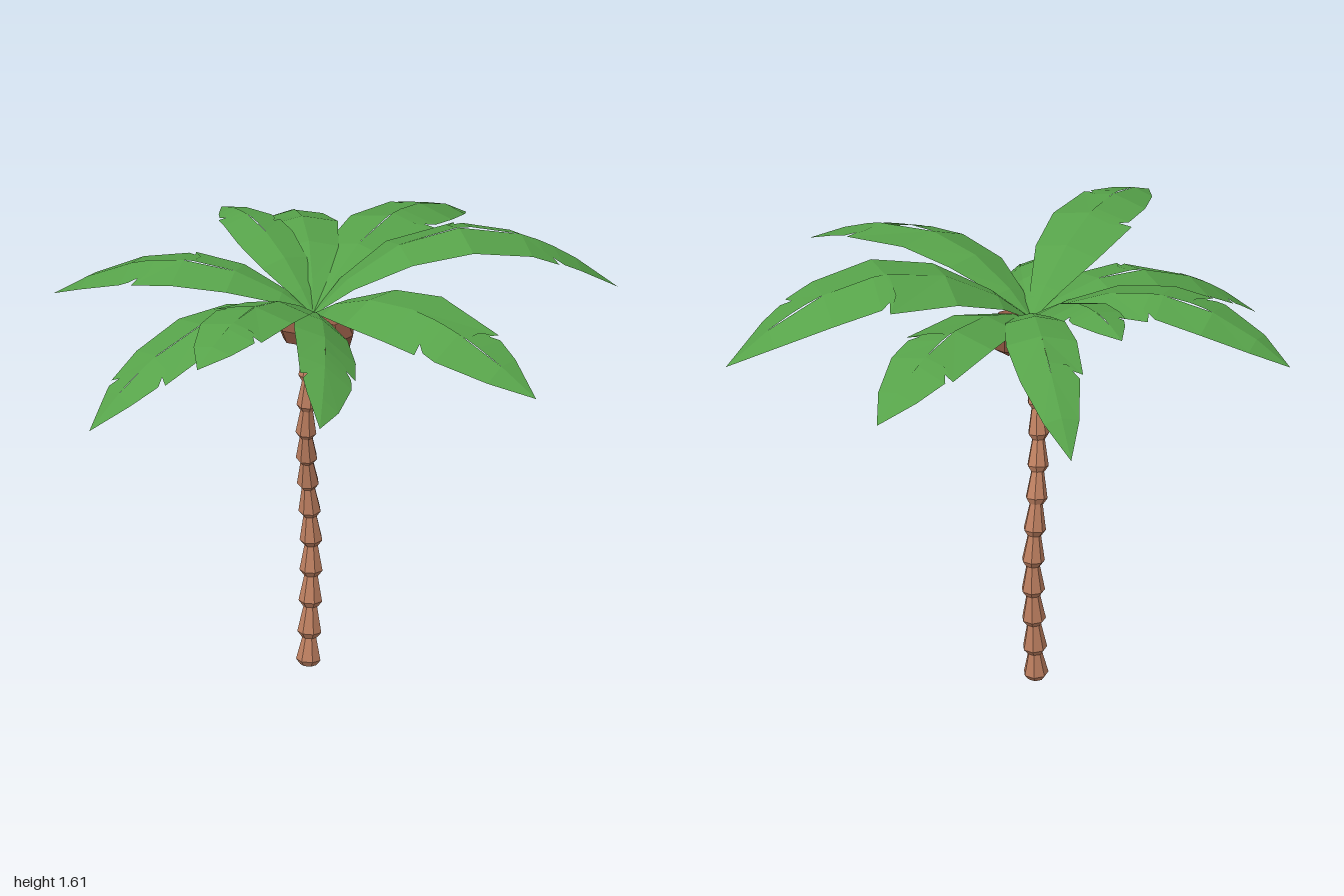
import * as THREE from 'three';

const paint = (color) => new THREE.MeshStandardMaterial({ color, flatShading: true, side: THREE.DoubleSide });
const CROWN_BASE = new THREE.Vector3(-0.105, 1.36, 0.01);

// Half-width of a frond along its length, as a share of its widest point
const PROFILE = [[0, 0.04], [0.12, 0.4], [0.3, 0.83], [0.5, 1], [0.7, 0.87], [0.87, 0.52], [1, 0]];

function widthAt(t) {
  const i = Math.max(1, PROFILE.findIndex((p) => p[0] >= t));
  const [a, b] = [PROFILE[i - 1], PROFILE[i]];
  return THREE.MathUtils.mapLinear(t, a[0], b[0], a[1], b[1]);
}

// Edge stations [rib t, edge t, width], with a backward-cut tear at each notch
function edgeStations(notches) {
  const out = PROFILE.filter(([t]) => !notches.some((n) => Math.abs(n - t) < 0.06)).map(([t, w]) => [t, t, w]);
  for (const n of notches) {
    const w = widthAt(n);
    out.push([n - 0.01, n + 0.03, w * 1.04], [n, n - 0.01, w * 0.58], [n + 0.04, n + 0.05, w * 0.9]);
  }
  return out.sort((a, b) => a[0] - b[0]);
}

// Arched rib from the crown base through a middle point to the tip
function ribCurve(mid, tip) {
  const end = new THREE.Vector3(...tip);
  const control = new THREE.Vector3(...mid).multiplyScalar(2)
    .addScaledVector(CROWN_BASE, -0.5).addScaledVector(end, -0.5);
  return new THREE.QuadraticBezierCurve3(CROWN_BASE, control, end);
}

// Frond: two halves folded down from the rib, the whole blade rolled about it
function frondGeometry({ mid, tip, width, right, left, roll = 0 }) {
  const path = ribCurve(mid, tip);
  const up = new THREE.Vector3(0, 1, 0);
  const fold = 0.23;
  const pos = [];
  for (const s of [1, -1]) {
    const rows = edgeStations(s > 0 ? right : left).map(([t, te, w]) => {
      const side = path.getTangent(te).cross(up).normalize();
      const reach = w * width;
      const edge = path.getPoint(te).addScaledVector(side, s * reach * Math.cos(roll));
      edge.y -= reach * (fold + s * Math.sin(roll));
      return [path.getPoint(t), edge];
    });
    for (let i = 1; i < rows.length; i++) {
      const [m0, e0] = rows[i - 1];
      const [m1, e1] = rows[i];
      const tris = s > 0 ? [m0, e0, e1, m0, e1, m1] : [m0, e1, e0, m0, m1, e1];
      tris.forEach((v) => pos.push(v.x, v.y, v.z));
    }
  }
  const g = new THREE.BufferGeometry();
  g.setAttribute('position', new THREE.Float32BufferAttribute(pos, 3));
  g.computeVertexNormals();
  return g;
}

// Each frond: rib middle and tip, half-width, and tears on its two edges
const FRONDS = [
  { mid: [0.43, 1.61, 0], tip: [1, 1.32, 0.03], width: 0.178, right: [0.76], left: [0.5], roll: -0.1 },
  { mid: [0.28, 1.53, -0.34], tip: [0.66, 1.36, -0.65], width: 0.155, right: [0.54], left: [0.7] },
  { mid: [0, 1.52, -0.45], tip: [0.03, 1.25, -0.9], width: 0.125, right: [], left: [0.66] },
  { mid: [-0.5, 1.51, -0.24], tip: [-0.88, 1.31, -0.53], width: 0.15, right: [0.47], left: [0.62] },
  { mid: [-0.55, 1.43, 0.13], tip: [-1, 1.14, 0.26], width: 0.145, right: [0.8], left: [0.45, 0.72] },
  { mid: [-0.42, 1.57, 0.34], tip: [-0.72, 1.49, 0.62], width: 0.145, right: [0.5], left: [0.7] },
  { mid: [0.12, 1.53, 0.44], tip: [0.43, 1.34, 0.89], width: 0.16, right: [0.6], left: [0.74], roll: 0.2 },
  { mid: [-0.16, 1.41, 0.32], tip: [-0.27, 1.2, 0.61], width: 0.13, right: [0.76], left: [0.6], roll: -0.6 },
  { mid: [-0.18, 1.55, -0.3], tip: [-0.25, 1.53, -0.59], width: 0.11, right: [0.6], left: [0.76] },
];

export function createModel() {
  const model = new THREE.Group();
  const bark = paint(0xbd7f60);
  const shell = paint(0x8f5843);
  const green = paint(0x57a34a);

  function add(parent, name, geometry, material) {
    const mesh = new THREE.Mesh(geometry, material);
    mesh.name = name;
    parent.add(mesh);
    return mesh;
  }

  // Trunk: flared segments stacked along a gentle S-curve
  const trunk = new THREE.Group();
  trunk.name = 'trunk';
  model.add(trunk);
  const spine = new THREE.CatmullRomCurve3([
    [-0.105, 0, -0.045], [-0.092, 0.24, -0.06], [-0.087, 0.46, -0.068], [-0.105, 0.69, -0.048],
    [-0.13, 0.9, 0.008], [-0.132, 1.11, 0.038], [-0.11, 1.36, 0.02],
  ].map((p) => new THREE.Vector3(...p)));
  const count = 12;
  for (let i = 0; i < count; i++) {
    const a = spine.getPointAt(i / count);
    const b = spine.getPointAt((i + 1) / count);
    const overlap = i ? 0.012 : 0;
    const len = a.distanceTo(b) + overlap;
    const wide = 0.044 - 0.0008 * i;
    const profile = [[0, 0], [wide * 0.65, 0], [wide, 0.02], [0.022 - 0.0002 * i, len], [0, len]];
    const segment = add(trunk, 'trunkSegment', new THREE.LatheGeometry(profile.map((p) => new THREE.Vector2(...p)), 7), bark);
    const dir = b.clone().sub(a).normalize();
    segment.quaternion.setFromUnitVectors(new THREE.Vector3(0, 1, 0), dir);
    segment.position.copy(a).addScaledVector(dir, -overlap);
  }

  // Coconuts tucked under the crown
  for (const [x, y, z, r] of [[-0.04, 1.3, 0.045, 0.08], [-0.15, 1.3, -0.042, 0.07]]) {
    const nut = add(model, 'coconut', new THREE.SphereGeometry(r, 7, 4), shell);
    nut.position.set(x, y, z);
    nut.scale.set(0.95, 1.08, 0.95);
    nut.rotation.set(0.2, x * 9, 0.15);
  }

  // Crown of fronds
  const crown = new THREE.Group();
  crown.name = 'crown';
  model.add(crown);
  FRONDS.forEach((f) => add(crown, 'frond', frondGeometry(f), green));

  return model;
}
